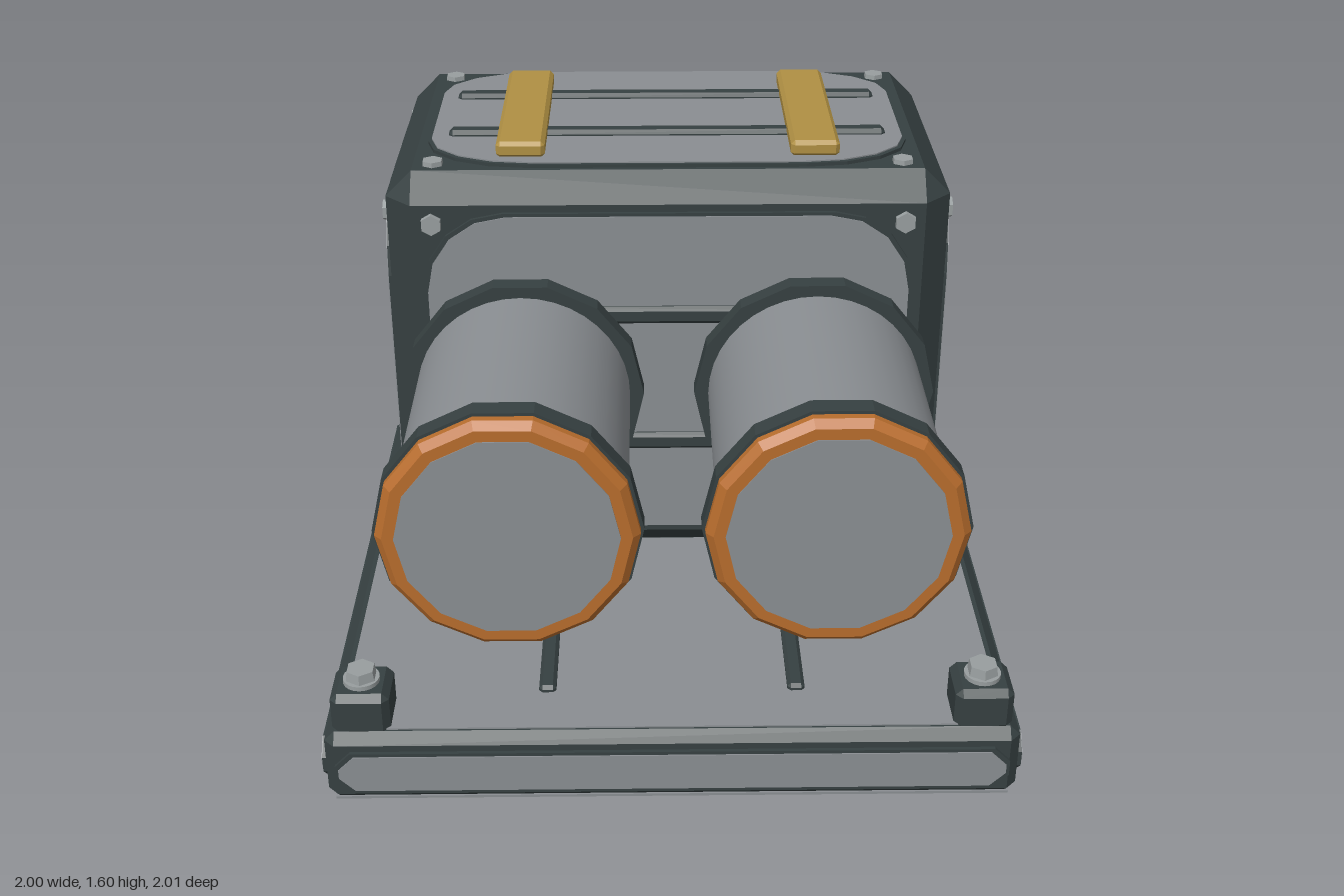
import * as THREE from 'three';
import { ConvexGeometry } from 'three/addons/geometries/ConvexGeometry.js';

const mat = (name, color) => {
  const m = new THREE.MeshStandardMaterial({ color });
  m.name = name;
  return m;
};

const flat = (geo) => {
  const g = geo.index ? geo.toNonIndexed() : geo;
  g.computeVertexNormals();
  return g;
};

// Box with all edges cut at 45 degrees
function chamferBox(w, h, d, c) {
  const pts = [];
  const [x, y, z] = [w / 2, h / 2, d / 2];
  for (const i of [-1, 1]) for (const j of [-1, 1]) for (const k of [-1, 1]) {
    pts.push(new THREE.Vector3(i * x, j * (y - c), k * (z - c)));
    pts.push(new THREE.Vector3(i * (x - c), j * y, k * (z - c)));
    pts.push(new THREE.Vector3(i * (x - c), j * (y - c), k * z));
  }
  return new ConvexGeometry(pts);
}

// Rectangle with faceted elliptical corners, extruded from z = 0
function plate(w, h, rx, ry, seg, depth) {
  const pts = [];
  const corners = [[1, 1], [-1, 1], [-1, -1], [1, -1]];
  corners.forEach(([sx, sy], q) => {
    for (let i = 0; i <= seg; i++) {
      const a = (q + i / seg) * Math.PI / 2;
      pts.push(new THREE.Vector2(
        sx * (w / 2 - rx) + Math.cos(a) * rx,
        sy * (h / 2 - ry) + Math.sin(a) * ry));
    }
  });
  return new THREE.ExtrudeGeometry(new THREE.Shape(pts), { depth, bevelEnabled: false });
}

export function createModel() {
  const steel = mat('panel grey', 0x8a8e92);
  const dark = mat('dark frame', 0x364041);
  const copper = mat('copper', 0xb86d2d);
  const brass = mat('brass', 0xb09043);
  const boltGrey = mat('bolt grey', 0x989e9f);

  const model = new THREE.Group();
  model.name = 'twinBarrelUnit';

  const add = (parent, name, geo, material, x = 0, y = 0, z = 0) => {
    const m = new THREE.Mesh(geo, material);
    m.name = name;
    m.position.set(x, y, z);
    parent.add(m);
    return m;
  };
  // Group whose local +z points out of a face
  const face = (parent, name, pos, rx, ry) => {
    const g = new THREE.Group();
    g.name = name;
    g.position.set(...pos);
    g.rotation.set(rx, ry, 0);
    parent.add(g);
    return g;
  };
  const panel = (g, w, h, rx, ry, seg) => {
    add(g, 'panelRim', plate(w + 0.02, h + 0.02, rx, ry, seg, 0.018), dark, 0, 0, -0.008);
    add(g, 'panel', plate(w, h, rx, ry, seg, 0.008), steel, 0, 0, 0.006);
  };
  const H = Math.PI / 2;

  // Base slab with framed edge panels
  const base = new THREE.Group();
  base.name = 'base';
  model.add(base);
  add(base, 'baseFrame', chamferBox(1.97, 0.23, 1.97, 0.03), dark, 0, 0.119, 0);
  for (let i = 0; i < 4; i++) {
    const a = i * H;
    const g = face(base, 'edgePanel', [Math.sin(a) * 0.986, 0.115, Math.cos(a) * 0.986], 0, a);
    panel(g, 1.89, 0.118, 0.045, 0.045, 1);
  }
  add(base, 'deckPlate', new THREE.BoxGeometry(1.88, 0.008, 1.9), steel, 0, 0.235, 0);
  add(base, 'bottomPlate', new THREE.BoxGeometry(1.93, 0.008, 1.93), steel, 0, 0.004, 0);
  for (const s of [-1, 1]) {
    add(base, 'deckRib', chamferBox(0.05, 0.035, 1.58, 0.01), dark, s * 0.36, 0.24, 0);
  }

  // Corner blocks with hex bolts
  const block = chamferBox(0.166, 0.135, 0.166, 0.02);
  const washer = new THREE.CylinderGeometry(0.052, 0.052, 0.016, 20);
  const hexBolt = flat(new THREE.CylinderGeometry(0.042, 0.046, 0.032, 6));
  for (const sx of [-1, 1]) for (const sz of [-1, 1]) {
    const g = new THREE.Group();
    g.name = 'cornerMount';
    g.position.set(sx * 0.878, 0, sz * 0.875);
    base.add(g);
    add(g, 'cornerBlock', block, dark, 0, 0.284, 0);
    add(g, 'washer', washer, boltGrey, 0, 0.357, 0);
    add(g, 'hexBolt', hexBolt, boltGrey, 0, 0.379, 0);
  }

  // Housing
  const CY = 0.893, CZ = -0.4625;
  const housing = new THREE.Group();
  housing.name = 'housing';
  model.add(housing);
  add(housing, 'housingFrame', chamferBox(1.68, 1.285, 1.055, 0.08), dark, 0, CY + 0.003, CZ);

  const faces = [
    // name, position, rotations, panel w, h, corner rx, ry, rib: axis, offset, length
    ['frontFace', [0, CY, 0.066], 0, 0, 1.44, 1.066, 0.24, 0.24, 'x', 0.217, 1.34],
    ['backFace', [0, CY, -0.991], 0, Math.PI, 1.44, 1.066, 0.24, 0.24, null],
    ['leftFace', [0.841, CY, CZ], 0, H, 0.842, 1.056, 0.19, 0.24, 'y', 0.172, 0.955],
    ['rightFace', [-0.841, CY, CZ], 0, -H, 0.842, 1.056, 0.19, 0.24, 'y', 0.172, 0.955],
    ['topFace', [0, 1.539, CZ], -H, 0, 1.44, 0.845, 0.32, 0.21, 'x', 0.172, 1.34],
    ['bottomFace', [0, 0.253, CZ], H, 0, 1.44, 0.845, 0.32, 0.21, null],
  ];
  const smallBolt = flat(new THREE.CylinderGeometry(0.032, 0.034, 0.022, 6).rotateX(H));
  for (const [name, pos, rx, ry, w, h, cx, cy, axis, off, len] of faces) {
    const g = face(housing, name, pos, rx, ry);
    panel(g, w, h, cx, cy, 4);
    for (const s of [-1, 1]) {
      if (axis === 'x') add(g, 'rib', chamferBox(len, 0.056, 0.04, 0.012), dark, 0, s * off, 0.01);
      if (axis === 'y') add(g, 'rib', chamferBox(0.056, len, 0.04, 0.012), dark, s * off, 0, 0.012);
      if (name === 'bottomFace') continue;
      for (const t of [-1, 1]) {
        add(g, 'bolt', smallBolt, boltGrey, s * (w / 2 - 0.02), t * (h / 2 - 0.025), 0.003);
      }
    }
  }

  // Brass straps on the roof
  for (const s of [-1, 1]) {
    add(housing, 'roofStrap', chamferBox(0.146, 0.05, 0.69, 0.012), brass, s * 0.44, 1.574, -0.425);
  }

  // Twin barrels pointing forward
  const SIDES = 14;
  const ring = (r0, r1, len, n = SIDES) =>
    flat(new THREE.CylinderGeometry(r1, r0, len, n).rotateY(H).rotateX(H));
  const capProfile = [[0, -0.07], [0.335, -0.07], [0.353, -0.05], [0.353, 0.048], [0.332, 0.069], [0, 0.069]]
    .map(([r, y]) => new THREE.Vector2(r, y));
  const cap = flat(new THREE.LatheGeometry(capProfile, SIDES).rotateY(H).rotateX(H));
  const tube = new THREE.CylinderGeometry(0.32, 0.32, 0.8, 40).rotateX(H);
  const neck = new THREE.CylinderGeometry(0.33, 0.25, 0.06, 40).rotateX(H);
  for (const s of [-1, 1]) {
    const g = new THREE.Group();
    g.name = 'barrel';
    g.position.set(s * 0.438, CY, 0);
    model.add(g);
    add(g, 'neck', neck, steel, 0, 0, 0.095);
    add(g, 'rearCollar', ring(0.362, 0.362, 0.06), dark, 0, 0, 0.15);
    add(g, 'tube', tube, steel, 0, 0, 0.5);
    add(g, 'copperCap', cap, copper, 0, 0, 0.92);
    add(g, 'frontCollar', ring(0.362, 0.362, 0.06), dark, 0, 0, 0.916);
    add(g, 'lens', ring(0.3, 0.3, 0.006), steel, 0, 0, 0.989);
  }

  return model;
}
